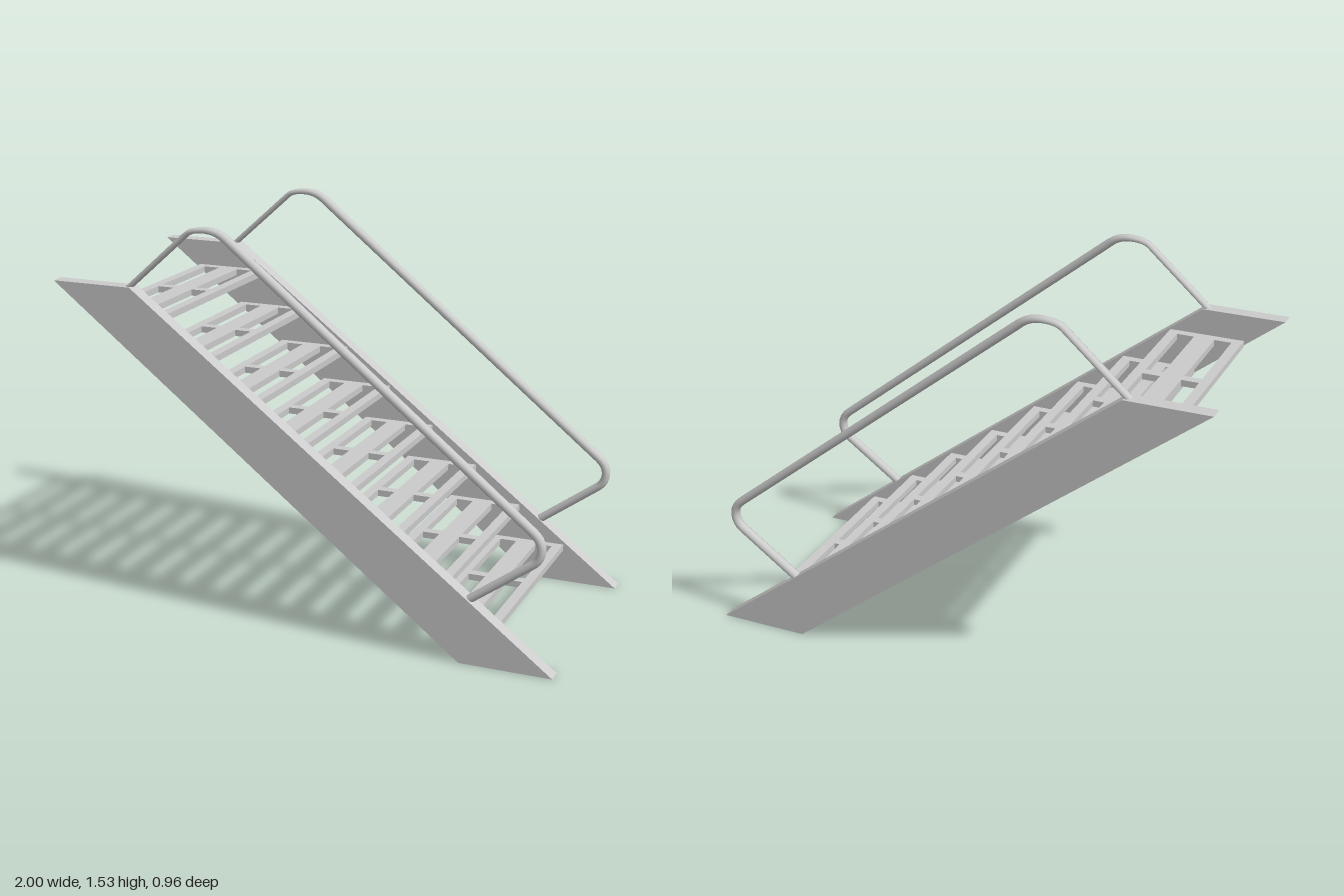
import * as THREE from 'three';

const material = new THREE.MeshStandardMaterial({ color: 0xcccccc, side: THREE.DoubleSide });

function addMesh(parent, geometry, name, x = 0, y = 0, z = 0) {
  const mesh = new THREE.Mesh(geometry, material);
  mesh.name = name;
  mesh.position.set(x, y, z);
  parent.add(mesh);
  return mesh;
}

const polygon = (points) => points.map(([x, y]) => new THREE.Vector2(x, y));

// Slanted side plate with level top and bottom ends
function stringerGeometry() {
  const shape = new THREE.Shape(polygon([[0.645, 0], [1, 0], [-0.675, 1.285], [-1, 1.285]]));
  const geometry = new THREE.ExtrudeGeometry(shape, { depth: 0.058, bevelEnabled: false });
  return geometry.translate(0, 0, -0.029);
}

// Flat step with four rectangular slots, lying in xz with its top at +0.0125
function treadGeometry() {
  const w = 0.295, d = 0.42, t = 0.025;
  const shape = new THREE.Shape(polygon([[0, -d], [w, -d], [w, d], [0, d]]));
  for (const [x0, x1] of [[0.039, 0.107], [0.188, 0.256]]) {
    for (const [z0, z1] of [[-0.384, -0.019], [0.019, 0.384]]) {
      shape.holes.push(new THREE.Path(polygon([[x0, z0], [x0, z1], [x1, z1], [x1, z0]])));
    }
  }
  const geometry = new THREE.ExtrudeGeometry(shape, { depth: t, bevelEnabled: false });
  return geometry.translate(0, 0, -t / 2).rotateX(-Math.PI / 2);
}

// Bent handrail: straight runs joined by rounded corners, flatter on the upper leg
function handrailGeometry() {
  const v = (x, y) => new THREE.Vector3(x, y, 0);
  const path = new THREE.CurvePath();
  const line = (a, b) => path.add(new THREE.LineCurve3(a, b));
  const bend = (a, c, b) => path.add(new THREE.QuadraticBezierCurve3(a, c, b));
  const foot = v(-0.7, 1.272), a = v(-0.44, 1.503), b = v(-0.365, 1.519), c = v(-0.28, 1.489);
  const d = v(0.905, 0.534), e = v(0.936, 0.475), f = v(0.906, 0.415), end = v(0.664, 0.24);
  line(foot, a);
  bend(a, v(-0.42, 1.518), b);
  bend(b, v(-0.315, 1.519), c);
  line(c, d);
  bend(d, v(0.936, 0.508), e);
  bend(e, v(0.936, 0.437), f);
  line(f, end);

  const segments = 140, sides = 12;
  const geometry = new THREE.TubeGeometry(path, segments, 0.022, sides, false);
  const pos = geometry.attributes.position;
  for (let i = 0; i <= segments; i++) {
    const p = path.getPointAt(i / segments);
    const squash = THREE.MathUtils.lerp(0.48, 0.75, THREE.MathUtils.smoothstep(p.x, -0.42, -0.25));
    for (let j = 0; j <= sides; j++) {
      const k = i * (sides + 1) + j;
      pos.setX(k, p.x + (pos.getX(k) - p.x) * squash);
      pos.setY(k, p.y + (pos.getY(k) - p.y) * squash);
    }
  }
  return geometry;
}

export function createModel() {
  const model = new THREE.Group();
  model.name = 'staircase';

  // Side plates and handrails, mirrored across z
  const stringer = stringerGeometry();
  const handrail = handrailGeometry();
  for (const [side, label] of [[1, 'front'], [-1, 'back']]) {
    addMesh(model, stringer, label + 'Stringer', 0, 0, side * 0.449);
    addMesh(model, handrail, label + 'Handrail', 0, 0, side * 0.447);
  }

  // Eight slotted treads climbing toward -x
  const tread = treadGeometry();
  for (let i = 0; i < 8; i++) {
    addMesh(model, tread, 'tread' + (i + 1), 0.485 - i * 0.19, 0.144 + i * 0.1465, 0);
  }
  return model;
}
